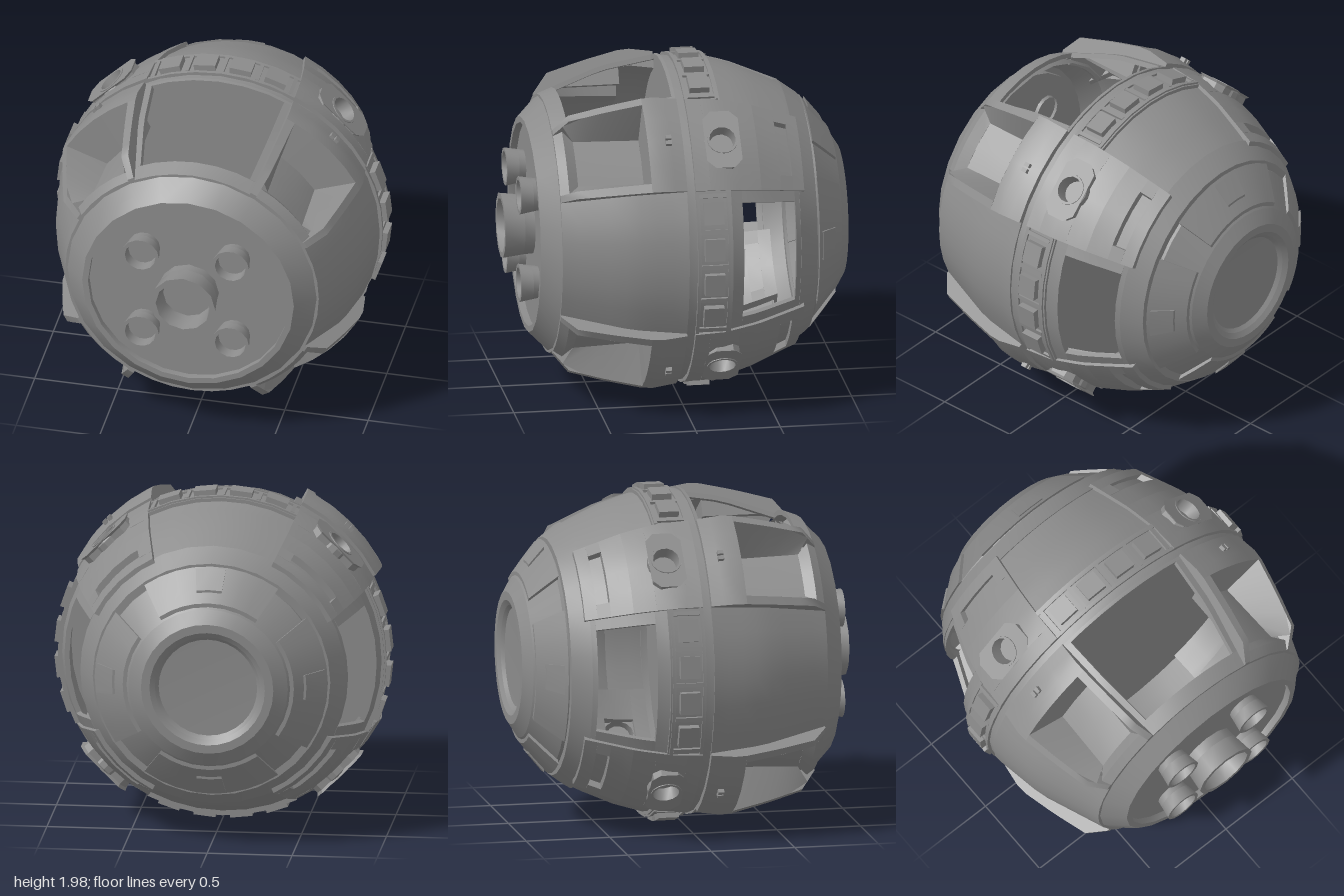
import * as THREE from 'three';
import { mergeGeometries, mergeVertices } from 'three/addons/utils/BufferGeometryUtils.js';

// Dark grey paint
const material = new THREE.MeshStandardMaterial({ color: 0x8c8c8c, side: THREE.DoubleSide });
const lerp = THREE.MathUtils.lerp;

// Radius along the z axis, interpolated between [z, r] points
const radius = (pts, offset = 0) => z => {
  let i = 0;
  while (i < pts.length - 2 && z > pts[i + 1][0]) i++;
  const [[z0, r0], [z1, r1]] = [pts[i], pts[i + 1]];
  return lerp(r0, r1, THREE.MathUtils.clamp((z - z0) / (z1 - z0), 0, 1)) + offset;
};
const HULL = [[-0.77, 0.7], [-0.65, 0.78], [-0.4, 0.89], [-0.2, 0.95], [0, 0.968], [0.35, 0.91], [0.75, 0.76]];
const RAISED = [[-0.69, 0.785], [-0.4, 0.91], [-0.2, 0.965], [0, 0.98], [0.2, 1.01], [0.45, 0.95], [0.67, 0.885], [0.75, 0.775]];
const LIP = [[0.7, 0.8], [0.75, 0.765]];
const CAP = [[-0.95, 0.47], [-0.79, 0.665]];

// Grid of points given in polar form [r, degrees, z]; its front follows u x v
function patch(nu, nv, f) {
  const pos = [], idx = [];
  for (let j = 0; j <= nv; j++) for (let i = 0; i <= nu; i++) {
    const [r, deg, z] = f(i / nu, j / nv), a = deg * Math.PI / 180;
    pos.push(r * Math.cos(a), r * Math.sin(a), z);
  }
  for (let j = 0; j < nv; j++) for (let i = 0; i < nu; i++) {
    const a = j * (nu + 1) + i, b = a + 1, c = a + nu + 1, d = c + 1;
    idx.push(a, b, d, a, d, c);
  }
  let g = new THREE.BufferGeometry();
  g.setAttribute('position', new THREE.Float32BufferAttribute(pos, 3));
  g.setIndex(idx);
  g = mergeVertices(g, 1e-4);
  g.computeVertexNormals();
  return g;
}

// Closed curved block between two z values, two angles and two radius rules
function bar(z0, z1, a0, a1, outer, inner) {
  const ro = typeof outer === 'number' ? () => outer : outer;
  const ri = typeof inner === 'number' ? () => inner : inner;
  const nz = Math.max(1, Math.ceil((z1 - z0) / 0.1)), na = Math.max(1, Math.ceil((a1 - a0) / 9));
  const A = t => lerp(a0, a1, t), Z = t => lerp(z0, z1, t);
  const R = (z, t) => lerp(ri(z), ro(z), t);
  return mergeGeometries([
    patch(na, nz, (u, v) => [ro(Z(v)), A(u), Z(v)]),
    patch(na, nz, (u, v) => [ri(Z(v)), A(1 - u), Z(v)]),
    patch(1, na, (u, v) => [R(z1, u), A(v), z1]),
    patch(1, na, (u, v) => [R(z0, 1 - u), A(v), z0]),
    patch(nz, 1, (u, v) => [R(Z(u), v), a1, Z(u)]),
    patch(nz, 1, (u, v) => [R(Z(1 - u), v), a0, Z(1 - u)])
  ]);
}

// Four bars around a rectangular opening
const frame = ([z0, z1, a0, a1], [h0, h1, b0, b1], outer, inner) => [
  bar(z0, h0, a0, a1, outer, inner),
  bar(h1, z1, a0, a1, outer, inner),
  bar(h0, h1, a0, b0, outer, inner),
  bar(h0, h1, b1, a1, outer, inner)
];

// Solid of revolution about z with a sharp edge at every [z, r] point
const lathe = (pts, n = 32) => mergeGeometries(pts.slice(1).map(([z1, r1], i) =>
  patch(n, 1, (u, v) => [lerp(pts[i][1], r1, v), u * 360, lerp(pts[i][0], z1, v)])));

function add(parent, name, geometries) {
  const list = [].concat(geometries);
  const mesh = new THREE.Mesh(list.length > 1 ? mergeGeometries(list) : list[0], material);
  mesh.name = name;
  parent.add(mesh);
  return mesh;
}

// Recess with sloping walls down to a smaller floor
function intake(a) {
  const top = radius(RAISED), corners = [[0, -1], [0, 1], [1, 1], [1, -1], [0, -1]];
  const floorR = z => lerp(0.75, 0.765, (z - 0.25) / 0.39);
  const floorZ = s => lerp(0.25, 0.64, s);
  const walls = corners.slice(1).map(([s1, w1], k) => patch(4, 1, (u, v) => {
    const [s0, w0] = corners[k], s = lerp(s0, s1, u), w = lerp(w0, w1, u);
    const z = lerp(0.24, 0.7, s);
    return v ? [floorR(floorZ(s)), a + w * 11, floorZ(s)] : [k === 2 ? 0.8 : top(z), a + w * 15, z];
  }));
  return [...walls, patch(2, 2, (u, v) => [floorR(floorZ(v)), a + lerp(-11, 11, u), floorZ(v)])];
}

// Raised corner panel, with front intake, rear slot and thruster housing
function cornerPanel(a) {
  const g = new THREE.Group();
  g.name = 'cornerPanel';
  const top = radius(RAISED), under = radius(RAISED, -0.1);
  const lo = a - 18, hi = a + 18;
  add(g, 'intakeFrame', [
    bar(0.03, 0.24, lo, hi, top, under),
    bar(0.24, 0.75, lo, lo + 3, top, z => Math.min(under(z), 0.8)),
    bar(0.24, 0.75, hi - 3, hi, top, z => Math.min(under(z), 0.8)),
    bar(0.7, 0.75, lo + 3, hi - 3, radius(LIP), 0.7)
  ]);
  add(g, 'intake', intake(a));
  add(g, 'rearPanel', [
    ...frame([-0.42, -0.02, lo, hi], [-0.29, -0.11, a - 5.5, a + 5.5], top, under),
    ...frame([-0.69, -0.42, lo, hi], [-0.62, -0.545, a - 12, a + 12], top, under)
  ]);
  add(g, 'slotFloor', bar(-0.62, -0.545, a - 12, a + 12, radius(RAISED, -0.04), under));
  add(g, 'sensor', [-1, 1].map(d => bar(0.1, 0.135, a + d - 0.7, a + d + 0.7, 1.02, 0.95)));

  // Octagonal housing around an outward-facing tube
  const w = 0.105, h = 0.185, c = 0.05;
  const shape = new THREE.Shape([[w, -h + c], [w, h - c], [w - c, h], [c - w, h], [-w, h - c],
    [-w, c - h], [c - w, -h], [w - c, -h]].map(p => new THREE.Vector2(...p)));
  shape.holes.push(new THREE.Path().absarc(0, 0, 0.092, 0, Math.PI * 2, true));
  const housing = new THREE.Group();
  housing.name = 'thruster';
  add(housing, 'housing', new THREE.ExtrudeGeometry(shape, {
    depth: 0.06, bevelSize: -0.015, bevelThickness: 0.015, bevelSegments: 1, curveSegments: 8
  })).position.z = 0.91;
  add(housing, 'tube', lathe([[0.89, 0.09], [0.99, 0.092], [0.99, 0.078], [0.91, 0.07], [0.91, 0]], 14));
  housing.rotation.y = Math.PI / 2;
  const mount = new THREE.Group();
  mount.name = 'thrusterMount';
  mount.rotation.z = a * Math.PI / 180;
  mount.position.z = -0.205;
  mount.add(housing);
  g.add(mount);
  return g;
}

// Hull between the corner panels, with its row of raised tiles
function sidePanel(a, { openFront, window }) {
  const g = new THREE.Group();
  g.name = 'sidePanel';
  const top = radius(HULL), under = radius(HULL, -0.03);
  const lo = a - 27, hi = a + 27;
  add(g, 'frontHull', openFront
    ? frame([0.03, 0.75, lo, hi], [0.05, 0.66, a - 24.5, a + 24.5], top, under)
    : bar(0.03, 0.75, lo, hi, top, under));
  add(g, 'rearHull', window
    ? frame([-0.67, -0.23, lo, hi], [-0.63, -0.3, a - 22.5, a + 22.5], top, under)
    : bar(-0.67, -0.23, lo, hi, radius(HULL, -0.005), under));
  add(g, 'tileBed', bar(-0.23, -0.02, lo, hi, 0.957, 0.91));
  const ribs = [bar(-0.04, -0.02, lo, hi, 0.97, 0.93), bar(-0.22, -0.2, lo, hi, 0.968, 0.93)];
  for (let i = -2; i <= 2; i++)
    ribs.push(bar(-0.2, -0.04, a + i * 12.6 - 0.7, a + i * 12.6 + 0.7, 0.969, 0.93));
  add(g, 'tileRibs', ribs);
  add(g, 'tiles', [-18.9, -6.3, 6.3, 18.9].map(d =>
    bar(-0.178, -0.06, a + d - 3.8, a + d + 3.8, 0.993, 0.94)));
  return g;
}

export function createModel() {
  const model = new THREE.Group();
  model.name = 'pod';
  const body = new THREE.Group();
  body.name = 'body';
  body.position.y = 0.995;
  model.add(body);

  // Panels around the hull
  for (let i = 0; i < 4; i++) {
    body.add(cornerPanel(45 + i * 90));
    body.add(sidePanel(i * 90, { openFront: i === 1, window: i % 2 === 0 }));
  }

  // Sunken central belt with its bulkhead
  add(body, 'belt', lathe([[-0.02, 0.9], [-0.02, 0.952], [0.03, 0.952], [0.03, 0]]));

  // Front ring and engine plate
  add(body, 'frontRing', lathe([[0.68, 0.72], [0.74, 0.757], [0.86, 0.635], [0.86, 0.6], [0.82, 0.6], [0.82, 0]], 24));

  // Engine nozzles
  add(body, 'mainNozzle', lathe([[0.8, 0.175], [0.88, 0.18], [1, 0.195], [1, 0.163], [0.88, 0.145], [0.88, 0]], 12));
  for (const x of [-0.27, 0.27]) for (const y of [-0.27, 0.27]) {
    const nozzle = add(body, 'smallNozzle',
      lathe([[0.8, 0.09], [0.86, 0.1], [0.935, 0.113], [0.935, 0.092], [0.87, 0.085], [0.87, 0]], 14));
    nozzle.position.set(x, y, 0);
  }

  // Rear cap: dished centre, rim, cone, groove and collar
  add(body, 'rearCap', lathe([[-0.95, 0], [-0.96, 0.29], [-0.98, 0.31], [-1, 0.34], [-1, 0.39],
    [-0.95, 0.47], [-0.79, 0.655], [-0.77, 0.655], [-0.77, 0.7], [-0.66, 0.78], [-0.66, 0.73]]));
  for (let a = 0; a < 360; a += 90) {
    add(body, 'capPlate', bar(-0.94, -0.785, a - 35, a + 35, radius(CAP, 0.022), radius(CAP, -0.02)));
    add(body, 'capBlock', bar(-0.895, -0.805, a - 7.5, a + 7.5, radius(CAP, 0.036), radius(CAP)));
  }
  return model;
}
